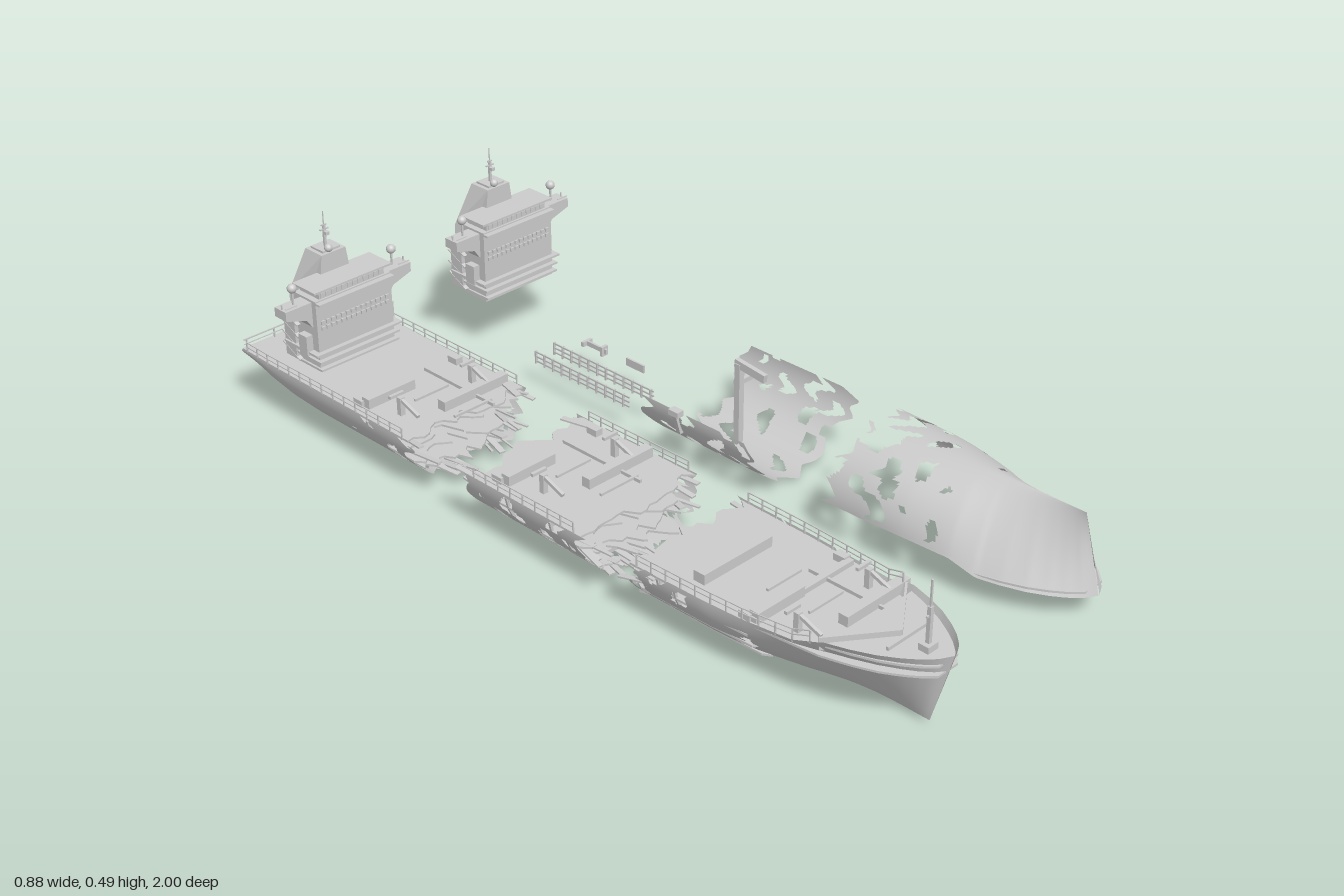
import * as THREE from 'three';
import { mergeGeometries } from 'three/addons/utils/BufferGeometryUtils.js';

const grey = new THREE.MeshStandardMaterial({ color: 0xcccccc, side: THREE.DoubleSide });
const V = (x, y, z) => new THREE.Vector3(x, y, z);
const hash = n => { const s = Math.sin(n * 127.1 + 11.7) * 43758.5453; return s - Math.floor(s); };
// piecewise-linear noise for torn edges
const jag = (u, seed) => {
  const i = Math.floor(u), f = u - i;
  return hash(i + seed * 57) * (1 - f) + hash(i + 1 + seed * 57) * f - 0.5;
};
const table = (rows, z) => {
  if (z <= rows[0][0]) return rows[0][1];
  for (let i = 1; i < rows.length; i++) {
    const [a, p] = rows[i - 1], [b, q] = rows[i];
    if (z <= b) return p + (q - p) * (z - a) / (b - a);
  }
  return rows[rows.length - 1][1];
};
const WIDTH = [[-1, .170], [-.9, .173], [.2, .173], [.3, .168], [.5, .164], [.6, .158], [.7, .148], [.78, .138],
  [.84, .12], [.89, .1], [.93, .077], [.96, .055], [.985, .03], [1, .002]];
const KEEL = [[-1, .105], [-.96, .085], [-.9, .045], [-.84, .022], [-.75, .012], [1, .012]];
const TOP = [[-1, .148], [-.2, .15], [.6, .155], [.72, .16], [.79, .183], [1, .19]];
const halfWidth = z => table(WIDTH, z);
const hullPoint = (t, z) => {
  const a = Math.abs(t) * Math.PI / 2, v = 1 - Math.cos(a), k = table(KEEL, z);
  const flare = THREE.MathUtils.smoothstep(z, .5, 1);
  const x = halfWidth(z) * (Math.sin(a) * (1 - flare) + Math.pow(v, .95) * flare);
  return [Math.sign(t) * x, k + (table(TOP, z) - k) * v, z - .05 * flare * (1 - v)];
};

function mesh(parent, name, geo) {
  const m = new THREE.Mesh(geo, grey);
  m.name = name;
  parent.add(m);
  return m;
}
const box = (x, y, z, w, h, d) => new THREE.BoxGeometry(w, h, d).translate(x, y, z);
const ball = (x, y, z, r) => new THREE.SphereGeometry(r, 16, 12).translate(x, y, z);
function beam(a, b, w, h = w) {
  const m = new THREE.Object3D();
  m.position.copy(a).lerp(b, .5);
  m.lookAt(b);
  m.updateMatrix();
  return new THREE.BoxGeometry(w, h, a.distanceTo(b)).applyMatrix4(m.matrix);
}

// hull plating with torn ends (tear0, tear1) and blob-shaped holes
function shell(z0, z1, tear0, tear1, amount, maskFn, seed) {
  const nz = 84, nt = 72, pos = [], idx = [];
  for (let i = 0; i <= nz; i++) for (let j = 0; j <= nt; j++) {
    const t = j / nt * 2 - 1, u = i / nz;
    const a = z0 + tear0 * jag(t * 11 + 20, seed), b = z1 + tear1 * jag(t * 11 + 20, seed + 3);
    pos.push(...hullPoint(t, a + (b - a) * u));
  }
  for (let i = 0; i < nz; i++) for (let j = 0; j < nt; j++) {
    const t = (j + .5) / nt * 2 - 1, z = z0 + (z1 - z0) * (i + .5) / nz;
    const n = Math.sin(z * 43 + seed + 2 * Math.sin(t * 5)) * Math.sin(t * 9.5 + seed * 2 + Math.sin(z * 29))
      + .35 * Math.sin(z * 90 + t * 13);
    if (n > 1.4 - amount * maskFn(z)) continue;
    const a = i * (nt + 1) + j, c = a + nt + 1;
    idx.push(a, a + 1, c, a + 1, c + 1, c);
  }
  const g = new THREE.BufferGeometry();
  g.setAttribute('position', new THREE.Float32BufferAttribute(pos, 3));
  g.setIndex(idx);
  g.computeVertexNormals();
  return g;
}

// horizontal deck plate following the hull outline
function plate(z0, z1, y, scale, tear0, tear1, seed, thick = .005) {
  const pts = [], n = 30;
  for (let i = 0; i <= n; i++) { const z = z0 + (z1 - z0) * i / n; pts.push([halfWidth(z) * scale, z]); }
  const s = new THREE.Shape();
  pts.forEach(([x, z], i) => i ? s.lineTo(x, z) : s.moveTo(x, z));
  const edge = (z, tear, dir, sd) => {
    const w = halfWidth(z) * scale;
    for (let k = 1; k < 18; k++) s.lineTo(-dir * w * (k / 9 - 1), z + tear * jag(k * .9, sd));
  };
  edge(z1, tear1, 1, seed);
  pts.reverse().forEach(([x, z]) => s.lineTo(-x, z));
  edge(z0, tear0, -1, seed + 5);
  return new THREE.ExtrudeGeometry(s, { depth: thick, bevelEnabled: false }).rotateX(Math.PI / 2).translate(0, y, 0);
}

function railing(z0, z1) {
  const parts = [], n = Math.round((z1 - z0) / .04);
  for (const s of [-1, 1]) for (let i = 0; i <= n; i++) {
    const at = (k, h) => { const z = z0 + (z1 - z0) * k / n; return V(s * halfWidth(z) * .985, table(TOP, z) + h, z); };
    parts.push(beam(at(i, -.005), at(i, .024), .003));
    if (i < n) for (const h of [.012, .024]) parts.push(beam(at(i, h), at(i + 1, h), .0022));
  }
  return mergeGeometries(parts);
}

// bent bars and ribs hanging out of a broken end
function wreckage(z, dir, seed) {
  const parts = [];
  for (let i = 0; i < 22; i++) {
    const r = k => hash(seed * 31 + i * 7 + k), t = r(1) * 2 - 1;
    const [x, y] = hullPoint(t, z), q = .88;
    const a = V(x * q, .03 + (y - .02) * .95, z - dir * .05);
    const b = V(x * q + (r(2) - .5) * .05, a.y + (r(3) - .55) * .03, z + dir * (.01 + r(4) * .05));
    parts.push(beam(a, b, .004 + r(5) * .012, .004));
  }
  return mergeGeometries(parts);
}

// lower decks, crossbeams and side frames inside a hull section
function innards(z0, z1, seed) {
  const parts = [];
  [[.118, .95], [.085, .86], [.052, .68]].forEach(([y, s], i) =>
    parts.push(plate(z0 + .01, z1 - .01, y, s, .09, .09, seed + i)));
  for (let z = z0 + .03; z < z1 - .02; z += .045) {
    parts.push(box(0, .136, z, halfWidth(z) * 1.9, .012, .008), box(0, .035, z, halfWidth(z) * 1.05, .01, .014));
    for (const s of [-1, 1]) for (let k = 0; k < 5; k++) {
      const p = t => V(...hullPoint(s * t, z)).multiply(V(.97, 1, 1)).add(V(0, .002, 0));
      parts.push(beam(p(.3 + k * .13), p(.43 + k * .13), .006));
    }
  }
  return mergeGeometries(parts.map(g => g.index ? g.toNonIndexed() : g));
}

// derrick pair, covers and pipes on the cargo deck; c is the section's reference z
function deckGear(c, y) {
  const parts = [
    box(-.075, y + .012, c - .08, .135, .024, .024), box(.065, y + .012, c + .05, .19, .024, .024),
    box(0, y + .006, c - .02, .1, .006, .006), box(.02, y + .006, c + .1, .11, .006, .006),
    box(.065, y + .004, c, .006, .008, .24)];
  for (const s of [-1, 1]) parts.push(
    box(s * .105, y + .022, c, .013, .045, .013), box(s * .105, y + .044, c - .015, .04, .007, .008),
    beam(V(s * .105, y + .04, c), V(s * .105, y + .018, c + .06), .008),
    box(s * .14, y + .008, c - .1, .02, .016, .03));
  return mergeGeometries(parts);
}

// superstructure with wings, windows, casing, funnel and mast
function deckhouse(name) {
  const g = new THREE.Group();
  g.name = name;
  mesh(g, 'houseBody', mergeGeometries([box(0, .238, -.815, .22, .185, .08), box(0, .18, -.88, .2, .07, .06)]));
  mesh(g, 'houseFloors', mergeGeometries([[.158, .23], [.178, .235], [.198, .25]].map(([y, w]) =>
    box(0, y, -.825, w, .005, .125))));
  const wing = new THREE.Shape([[-.183, .325], [-.183, .302], [-.128, .285], [-.112, .262], [.112, .262], [.128, .285],
    [.183, .302], [.183, .325]].map(p => new THREE.Vector2(...p)));
  mesh(g, 'bridgeWings', new THREE.ExtrudeGeometry(wing, { depth: .042, bevelEnabled: false }).translate(0, 0, -.832));
  mesh(g, 'wheelhouse', mergeGeometries([box(0, .337, -.815, .19, .028, .07), box(0, .352, -.813, .226, .005, .082),
    box(0, .325, -.79, .22, .005, .06)]));
  const win = [];
  for (let r = 0; r < 2; r++) for (let i = 0; i < 14; i++) win.push(box((i - 6.5) * .0145, .259 + r * .015, -.774, .01, .009, .006));
  for (let i = 0; i < 12; i++) win.push(box((i - 5.5) * .0155, .339, -.78, .012, .012, .004));
  mesh(g, 'windows', mergeGeometries(win));
  const casing = new THREE.Shape([[-.9, .4], [-.93, .29], [-.93, .15], [-.84, .15], [-.84, .4]].map(p => new THREE.Vector2(-p[0], p[1])));
  const funnel = new THREE.ExtrudeGeometry(casing, { depth: .14, bevelEnabled: false }).translate(0, 0, -.07).rotateY(Math.PI / 2);
  const p = funnel.attributes.position;
  for (let i = 0; i < p.count; i++) if (p.getY(i) > .35) p.setX(i, p.getX(i) * .5);
  funnel.computeVertexNormals();
  mesh(g, 'funnelCasing', funnel);
  mesh(g, 'funnelTop', mergeGeometries([box(0, .402, -.87, .05, .006, .045), ball(-.01, .411, -.845, .01)]));
  mesh(g, 'mast', mergeGeometries([box(0, .43, -.87, .006, .06, .006), box(0, .47, -.87, .002, .045, .002),
    box(0, .447, -.87, .024, .003, .004), box(0, .458, -.87, .014, .003, .004), box(0, .44, -.862, .01, .008, .012)]));
  const side = [];
  for (const s of [-1, 1]) {
    side.push(ball(s * .145, .366, -.812, .0115), box(s * .145, .34, -.812, .004, .034, .004),
      box(s * .12, .215, -.81, .018, .05, .03), box(s * .095, .22, -.87, .05, .12, .04),
      box(s * .165, .331, -.792, .032, .002, .002), box(s * .178, .33, -.81, .003, .012, .003));
    for (let i = 0; i < 4; i++) side.push(beam(V(s * .115, .16 + i * .03, -.84), V(s * .115, .19 + i * .03, -.9), .012, .003));
  }
  mesh(g, 'sideFittings', mergeGeometries(side));
  return g;
}

export function createModel() {
  const model = new THREE.Group();
  const ship = new THREE.Group(), spare = new THREE.Group();
  ship.name = 'brokenShip'; ship.position.x = -.26;
  spare.name = 'looseParts'; spare.position.x = .25;
  model.add(ship, spare);
  const near = (c, r) => z => Math.max(0, 1 - Math.abs(z - c) / r);

  // stern, middle and bow sections of the ship
  const sections = [
    ['stern', -1, -.39, 0, .06, near(-.39, .3), 1], ['middle', -.19, .16, .06, .06, () => .75, 2], ['bow', .3, 1, .06, 0, near(.3, .42), 3]];
  for (const [name, z0, z1, a, b, mask, seed] of sections) {
    const g = new THREE.Group();
    g.name = name + 'Section';
    ship.add(g);
    mesh(g, 'hullPlating', shell(z0, z1, a, b, 1.3, mask, seed));
    mesh(g, 'deck', plate(z0, Math.min(z1, .985), .15, .985, a, b, seed + 20));
    mesh(g, 'innerDecks', innards(name === 'stern' ? -.7 : z0, name === 'bow' ? .62 : z1, seed));
    mesh(g, 'railing', railing(z0 + .02, name === 'bow' ? .76 : z1 - .02));
    mesh(g, 'deckGear', deckGear(name === 'stern' ? -.49 : name === 'bow' ? .7 : -.02, .15));
    if (a) mesh(g, 'backWreckage', wreckage(z0, -1, seed + 1));
    if (b) mesh(g, 'frontWreckage', wreckage(z1, 1, seed + 2));
  }
  mesh(ship, 'bowCovers', mergeGeometries([box(-.02, .162, .45, .2, .024, .03), box(0, .156, .62, .29, .012, .016), box(0, .156, .57, .1, .006, .006)]));

  // transom, rudder and propeller
  const edge = [];
  for (let j = 0; j <= 24; j++) edge.push(new THREE.Vector2(...hullPoint(j / 12 - 1, -1).slice(0, 2)));
  mesh(ship, 'transom', new THREE.ShapeGeometry(new THREE.Shape(edge)).translate(0, 0, -1));
  mesh(ship, 'rudder', mergeGeometries([box(0, .036, -.945, .008, .07, .035), box(0, .07, -.94, .006, .05, .012)]));
  mesh(ship, 'sternRail', mergeGeometries([-.16, -.08, 0, .08, .16].map(x => box(x, .162, -.992, .003, .026, .003))
    .concat([box(0, .174, -.992, .335, .003, .003), box(0, .162, -.992, .335, .002, .002)])));

  // forecastle deck, breakwater, winch and foremast
  mesh(ship, 'forecastle', plate(.79, .985, .172, .95, 0, 0, 1));
  mesh(ship, 'breakwater', mergeGeometries([-1, 1].map(s => beam(V(s * .13, .17, .775), V(0, .17, .87), .005, .03))));
  mesh(ship, 'foremast', mergeGeometries([box(0, .22, .935, .009, .1, .009), box(0, .295, .935, .004, .07, .004),
    box(0, .25, .935, .022, .004, .004), box(0, .18, .935, .03, .015, .025), box(0, .178, .885, .12, .008, .006)]));
  ship.add(deckhouse('deckhouse'));

  // loose parts: deckhouse, upturned bow, open middle shell
  spare.add(deckhouse('spareDeckhouse'));
  const bow = new THREE.Group();
  bow.name = 'upturnedBow';
  bow.rotation.z = Math.PI;
  bow.position.set(.01, .247, -.03);
  spare.add(bow);
  mesh(bow, 'bowPlating', shell(.4, 1, .06, 0, 1.25, near(.46, .36), 6));
  mesh(bow, 'bowFloor', plate(.78, .985, .18, .98, 0, 0, 1));
  mesh(spare, 'middlePlating', shell(-.16, .16, .06, .06, .85, () => 1, 4));
  mesh(spare, 'brokenCrane', mergeGeometries([beam(V(-.01, .02, -.02), V(-.01, .225, -.02), .016),
    beam(V(-.01, .225, -.03), V(-.01, .215, .06), .012, .02), box(.08, .12, -.09, .05, .012, .015),
    beam(V(-.16, .09, -.06), V(-.178, .15, -.06), .012), box(-.175, .148, -.06, .02, .014, .03)]));

  // loose rail lengths and small fittings
  const bits = [];
  for (const [x, z0, z1] of [[-.135, -.57, -.25], [-.075, -.57, -.23]]) {
    for (const y of [.07, .082, .094]) bits.push(box(x, y, (z0 + z1) / 2, .003, .004, z1 - z0));
    for (let z = z0; z <= z1; z += .03) bits.push(box(x, .08, z, .006, .034, .004));
  }
  bits.push(box(-.005, .085, -.495, .006, .012, .07), box(-.005, .085, -.53, .03, .012, .008),
    box(-.005, .085, -.47, .02, .025, .008), box(.003, .08, -.37, .005, .02, .06));
  mesh(spare, 'looseRails', mergeGeometries(bits));
  return model;
}
